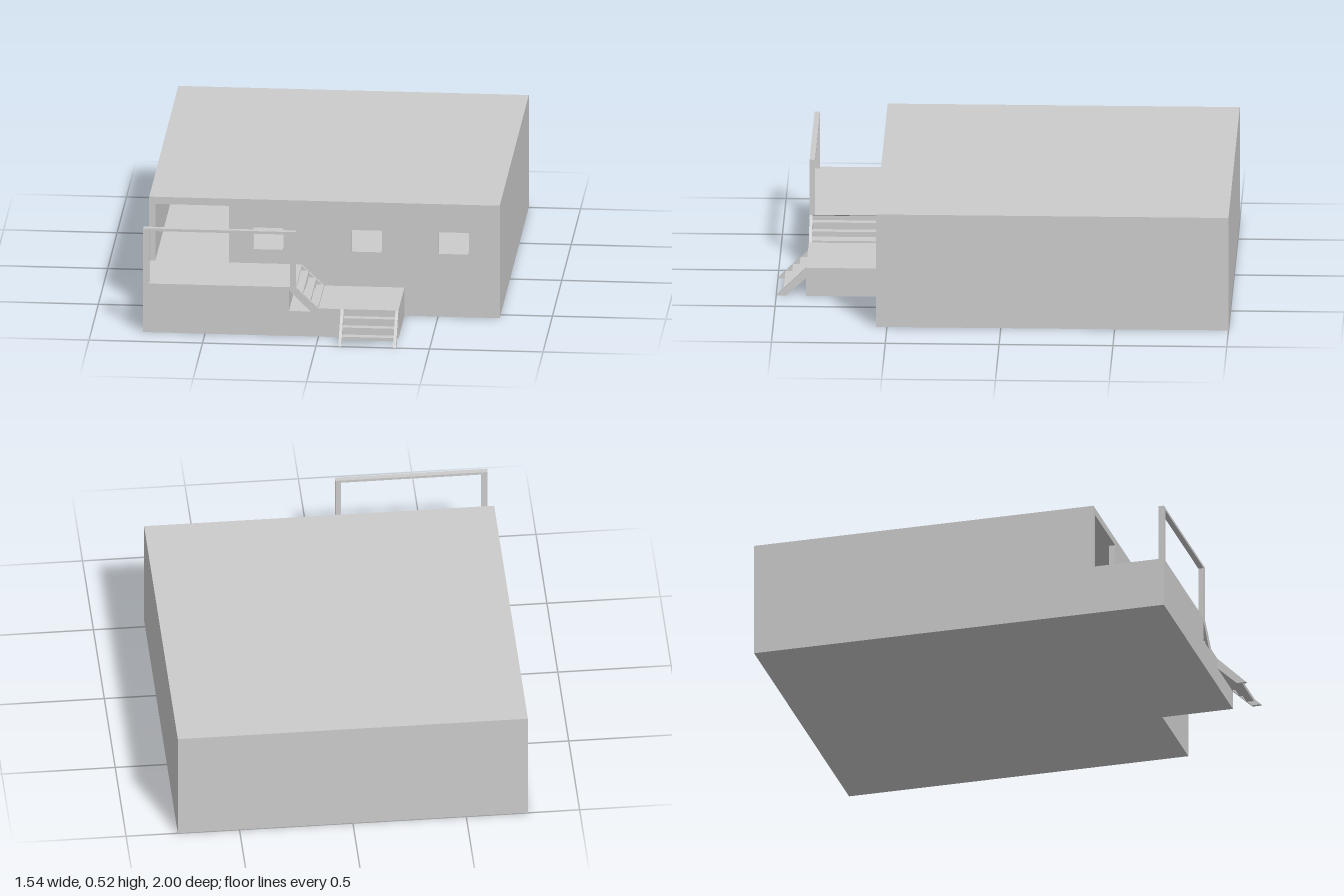
import * as THREE from 'three';

const material = new THREE.MeshStandardMaterial({ color: 0xcccccc, flatShading: true });

function add(parent, name, geometry) {
  const mesh = new THREE.Mesh(geometry, material);
  mesh.name = name;
  parent.add(mesh);
  return mesh;
}

// Box given by its minimum and maximum corners
function box(parent, name, [x0, y0, z0], [x1, y1, z1]) {
  const mesh = add(parent, name, new THREE.BoxGeometry(x1 - x0, y1 - y0, z1 - z0));
  mesh.position.set((x0 + x1) / 2, (y0 + y1) / 2, (z0 + z1) / 2);
  return mesh;
}

const polygon = (points) => new THREE.Shape(points.map(([x, y]) => new THREE.Vector2(x, y)));
const rect = (x0, y0, x1, y1) => polygon([[x0, y0], [x1, y0], [x1, y1], [x0, y1]]);

// Rectangle with slightly rounded corners
function roundedRect(x0, y0, x1, y1, r) {
  const s = new THREE.Shape();
  s.absarc(x1 - r, y1 - r, r, 0, Math.PI / 2);
  s.absarc(x0 + r, y1 - r, r, Math.PI / 2, Math.PI);
  s.absarc(x0 + r, y0 + r, r, Math.PI, Math.PI * 1.5);
  s.absarc(x1 - r, y0 + r, r, Math.PI * 1.5, Math.PI * 2);
  s.closePath();
  return s;
}

// Extrude a shape in the x-y plane from z0 to z1
function slab(shape, z0, z1) {
  const g = new THREE.ExtrudeGeometry(shape, { depth: z1 - z0, bevelEnabled: false, curveSegments: 3 });
  return g.translate(0, 0, z0);
}

function createBuilding() {
  const building = new THREE.Group();
  building.name = 'building';
  const W = 0.772, H = 0.52, back = -1, front = 0.547, wall = 0.027;
  const floor = 0.225, ceiling = 0.487;

  // Side walls, roof and raised floor as one hollow section
  const shell = rect(-W, 0, W, H);
  shell.holes.push(rect(-W + wall, floor, W - wall, ceiling));
  add(building, 'shell', slab(shell, back + wall, front - wall));
  box(building, 'backWall', [-W, 0, back], [W, H, back + wall]);

  // Front wall with a doorway and three windows
  const face = rect(-W, 0, W, H);
  face.holes.push(rect(-W + wall, floor, -0.42, ceiling));
  for (const x of [-0.315, 0.12, 0.502]) {
    face.holes.push(roundedRect(x, 0.29, x + 0.134, 0.39, 0.006));
  }
  add(building, 'frontWall', slab(face, front - wall, front));
  return building;
}

function createDeck() {
  const deck = new THREE.Group();
  deck.name = 'deck';
  const z0 = 0.547, z1 = 0.868;

  // Two-level platform with a notch under the upper stairs
  add(deck, 'platform', slab(polygon([
    [-0.772, 0], [0.352, 0], [0.352, 0.13], [0, 0.13], [-0.035, 0.115],
    [-0.13, 0.115], [-0.13, 0.212], [-0.1, 0.225], [-0.772, 0.225],
  ]), z0, z1));

  // Railing frame along the upper level
  for (const x of [-0.772, -0.125]) {
    box(deck, 'railingPost', [x, 0.225, z1 - 0.024], [x + 0.025, 0.468, z1]);
  }
  box(deck, 'topRail', [-0.772, 0.468, z1 - 0.024], [-0.1, 0.48, z1]);
  return deck;
}

function createUpperStairs() {
  const stairs = new THREE.Group();
  stairs.name = 'upperStairs';
  const z0 = 0.547, z1 = 0.868, t = 0.013;
  const side = polygon([[-0.13, 0.212], [-0.035, 0.115], [0, 0.13], [-0.1, 0.225]]);
  for (const z of [z0, z1 - t]) add(stairs, 'stringer', slab(side, z, z + t));
  for (let i = 0; i < 3; i++) {
    const x = -0.102 + i * 0.034, y = 0.201 - i * 0.031;
    box(stairs, 'tread', [x, y - 0.012, z0 + t], [x + 0.034, y, z1 - t]);
  }
  return stairs;
}

function createLowerStairs() {
  const stairs = new THREE.Group();
  stairs.name = 'lowerStairs';
  const z0 = 0.868, x0 = 0.098, x1 = 0.352, t = 0.013;
  // Stringer profile drawn as (-z, y), then turned to face sideways
  const side = polygon([[-z0, 0.13], [-1, 0], [-0.957, 0], [-z0, 0.083]]);
  for (const x of [x0, x1 - t]) {
    add(stairs, 'stringer', slab(side, 0, t).rotateY(Math.PI / 2).translate(x, 0, 0));
  }
  for (let i = 0; i < 3; i++) {
    const z = z0 + i * 0.033, y = 0.099 - i * 0.032;
    box(stairs, 'tread', [x0 + t, y - 0.015, z], [x1 - t, y, z + 0.033]);
  }
  return stairs;
}

export function createModel() {
  const model = new THREE.Group();
  model.name = 'buildingWithDeck';
  model.add(createBuilding(), createDeck(), createUpperStairs(), createLowerStairs());
  return model;
}
